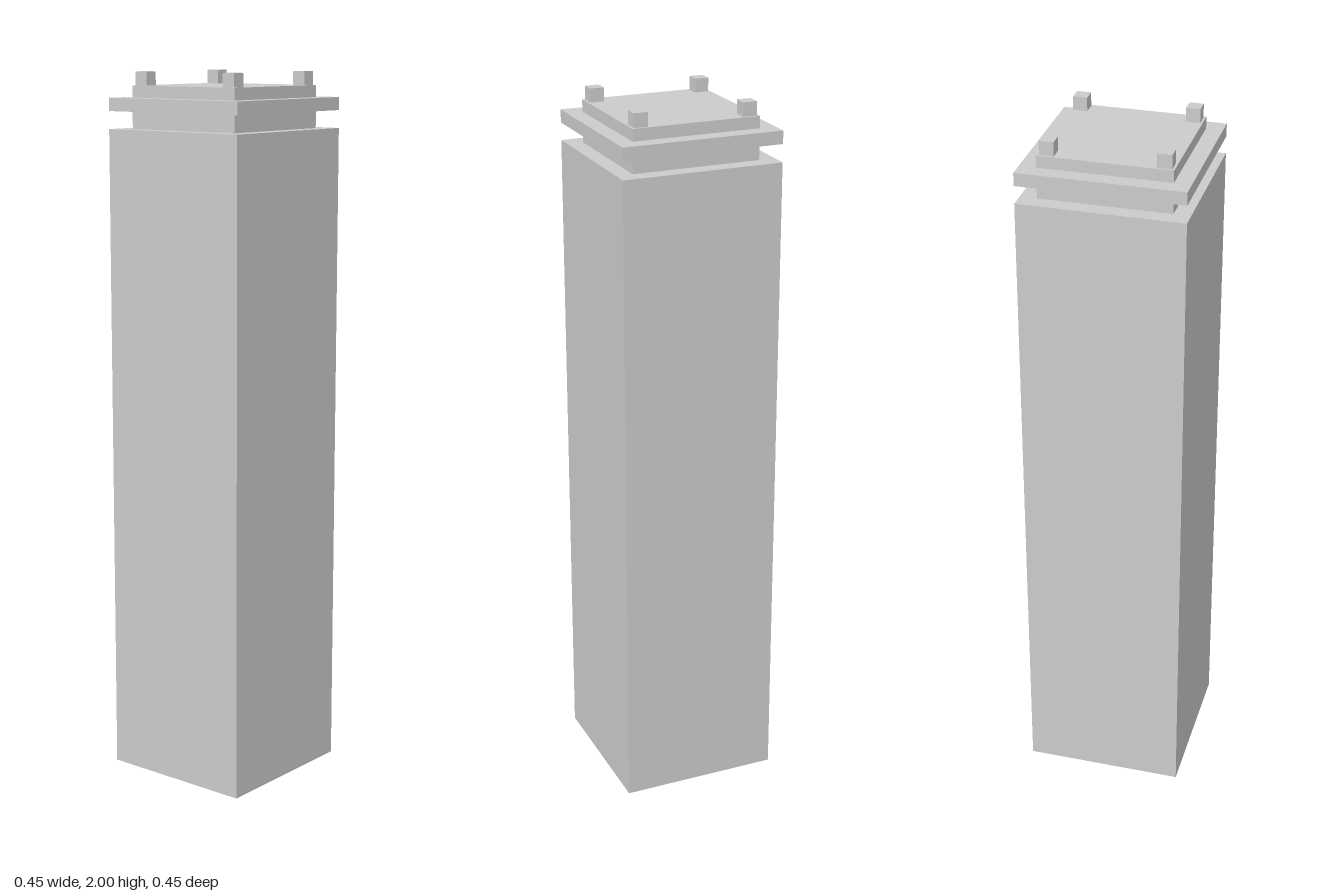
import * as THREE from 'three';

const material = new THREE.MeshStandardMaterial({ color: 0xcccccc, flatShading: true });

// Square block from its width and its bottom and top heights
function block(name, width, bottom, top, x = 0, z = 0) {
  const mesh = new THREE.Mesh(new THREE.BoxGeometry(width, top - bottom, width), material);
  mesh.name = name;
  mesh.position.set(x, (bottom + top) / 2, z);
  return mesh;
}

export function createModel() {
  const tower = new THREE.Group();
  tower.name = 'tower';

  // Stacked tiers, from the ground up
  tower.add(
    block('shaft', 0.452, 0, 1.844),
    block('neck', 0.36, 1.844, 1.893),
    block('ledge', 0.452, 1.893, 1.929),
    block('roof', 0.36, 1.929, 1.962)
  );

  // Small posts at the roof corners
  const posts = new THREE.Group();
  posts.name = 'cornerPosts';
  for (const x of [-0.154, 0.154]) {
    for (const z of [-0.154, 0.154]) posts.add(block('cornerPost', 0.039, 1.962, 2, x, z));
  }
  tower.add(posts);

  return tower;
}
